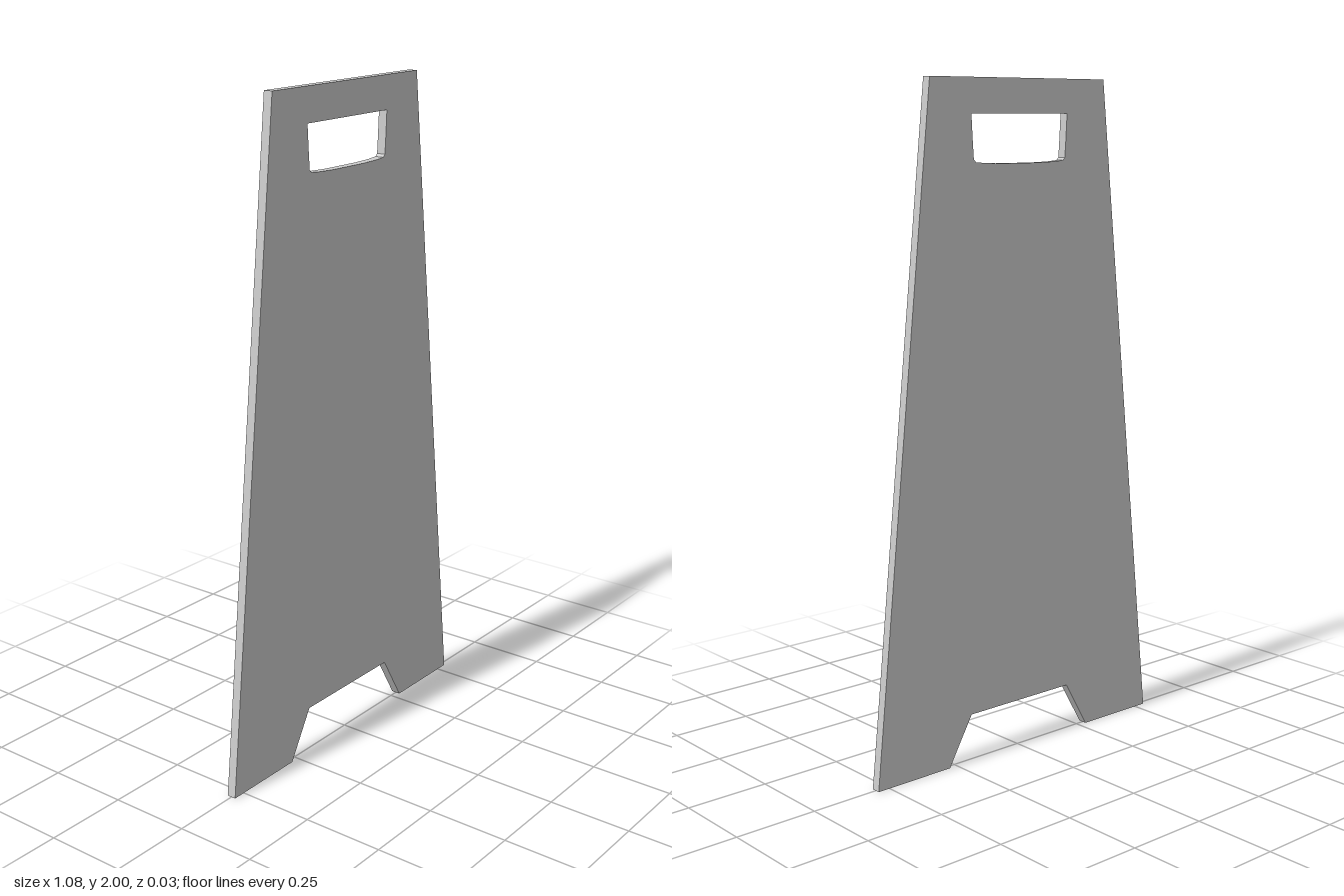
import * as THREE from 'three';

const THICKNESS = 0.028;

// Closed outline mirrored in x from its right half, listed bottom to top
function mirrored(half, Type) {
  const right = half.map(([x, y]) => new THREE.Vector2(x, y));
  const left = half.map(([x, y]) => new THREE.Vector2(-x, y)).reverse();
  return new Type([...right, ...left]);
}

export function createModel() {
  const group = new THREE.Group();
  group.name = 'floorSign';

  // Tapered board with two feet either side of a notch
  const board = mirrored(
    [[0.193, 0.146], [0.277, 0], [0.539, 0], [0.329, 2]],
    THREE.Shape
  );

  // Handle slot with a slightly bowed lower edge and clipped lower corners
  board.holes.push(mirrored(
    [[0.07, 1.761], [0.13, 1.763], [0.166, 1.766], [0.174, 1.774], [0.178, 1.83], [0.182, 1.9]],
    THREE.Path
  ));

  const geometry = new THREE.ExtrudeGeometry(board, { depth: THICKNESS, bevelEnabled: false });
  geometry.translate(0, 0, -THICKNESS / 2);

  const panel = new THREE.Mesh(
    geometry,
    new THREE.MeshStandardMaterial({ color: 0xcccccc, flatShading: true })
  );
  panel.name = 'panel';
  group.add(panel);
  return group;
}
